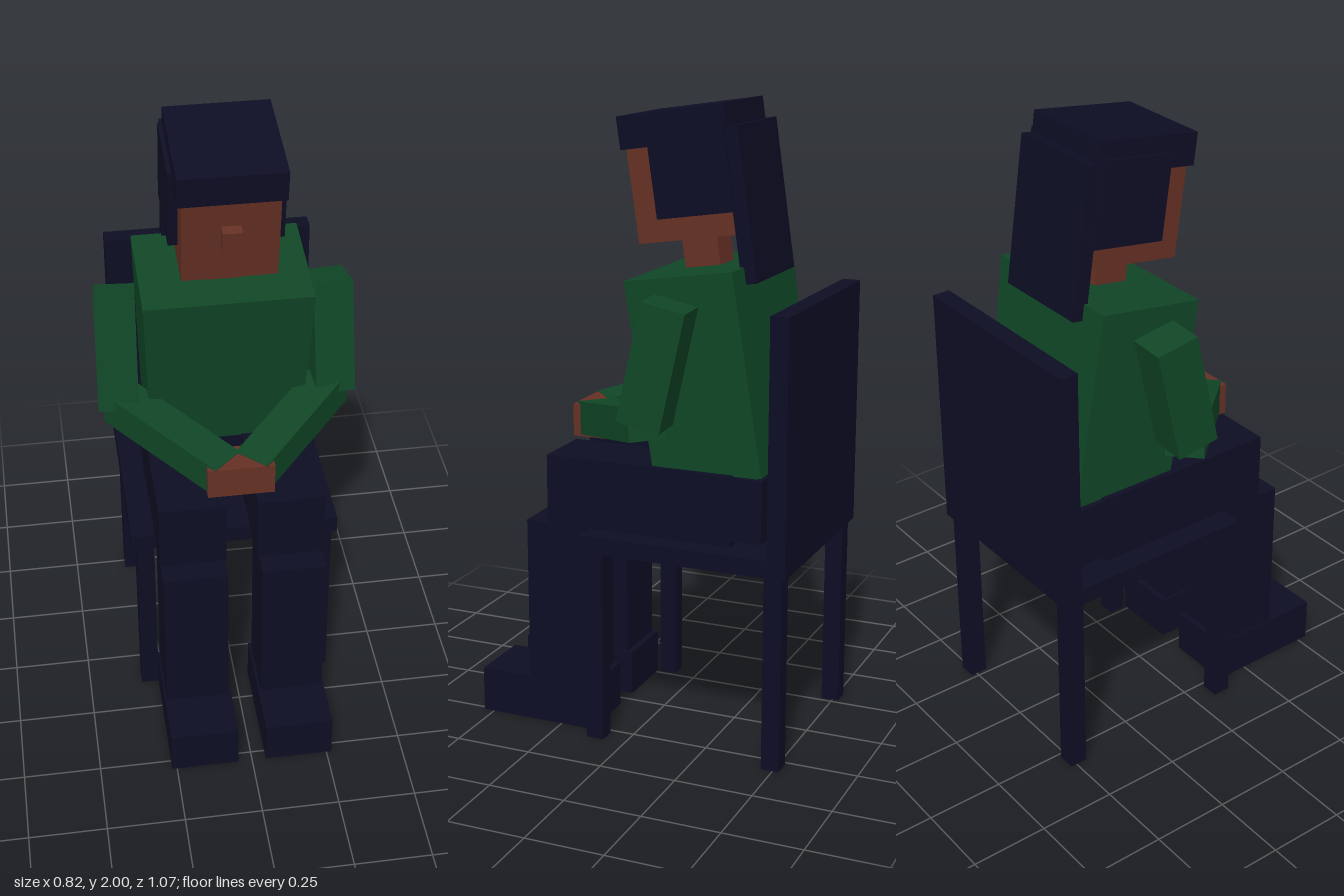
import * as THREE from 'three';

export function createModel() {
  const model = new THREE.Group();
  model.name = 'seatedFigure';

  const mat = (name, color) => {
    const m = new THREE.MeshStandardMaterial({ color });
    m.name = name;
    return m;
  };
  const navy = mat('darkNavy', 0x0d0d24);
  const green = mat('forestGreen', 0x104626);
  const skin = mat('brownSkin', 0x653024);

  // Box given by its extents on each axis
  const box = (parent, name, material, [x0, x1], [y0, y1], [z0, z1]) => {
    const mesh = new THREE.Mesh(new THREE.BoxGeometry(x1 - x0, y1 - y0, z1 - z0), material);
    mesh.position.set((x0 + x1) / 2, (y0 + y1) / 2, (z0 + z1) / 2);
    mesh.name = name;
    parent.add(mesh);
    return mesh;
  };
  // Extents of a span, mirrored to the side s
  const side = (s, a, b) => (s > 0 ? [a, b] : [-b, -a]);

  // Chair
  const chair = new THREE.Group();
  chair.name = 'chair';
  model.add(chair);
  box(chair, 'seat', navy, [-0.338, 0.338], [0.625, 0.68], [-0.476, 0.142]);
  box(chair, 'backrest', navy, [-0.338, 0.338], [0.625, 1.42], [-0.534, -0.476]);
  for (const s of [1, -1]) {
    const n = s > 0 ? 'left' : 'right';
    box(chair, n + 'FrontChairLeg', navy, side(s, 0.265, 0.323), [0, 0.625], [0.074, 0.131]);
    box(chair, n + 'BackChairLeg', navy, side(s, 0.265, 0.323), [0, 0.625], [-0.52, -0.462]);
  }

  // Hips and legs
  box(model, 'hips', navy, [-0.262, 0.262], [0.7, 0.899], [-0.43, -0.06]);
  for (const s of [1, -1]) {
    const n = s > 0 ? 'left' : 'right';
    box(model, n + 'Thigh', navy, side(s, 0.05, 0.262), [0.675, 0.903], [-0.33, 0.29]);
    box(model, n + 'Shin', navy, side(s, 0.055, 0.26), [0.05, 0.68], [0.16, 0.365]);
    box(model, n + 'Shoe', navy, side(s, 0.046, 0.266), [0, 0.147], [0.14, 0.535]);
  }

  // Upper body leans forward about the centre of the shoulders
  const upper = new THREE.Group();
  upper.name = 'upperBody';
  upper.position.set(0, 1.5, -0.155);
  upper.rotation.x = 0.145;
  model.add(upper);

  // Torso, narrower at the waist
  const torso = box(upper, 'torso', green, [-0.265, 0.265], [-0.63, 0], [-0.176, 0.176]);
  const p = torso.geometry.attributes.position;
  for (let i = 0; i < p.count; i++) if (p.getY(i) < 0) p.setX(i, p.getX(i) * 0.915);
  torso.geometry.computeVertexNormals();

  // Neck, head and hair
  box(upper, 'neck', skin, [-0.056, 0.056], [0, 0.11], [-0.056, 0.06]);
  box(upper, 'head', skin, [-0.147, 0.147], [0.095, 0.4], [-0.163, 0.163]);
  box(upper, 'nose', skin, [-0.03, 0.03], [0.221, 0.293], [0.15, 0.199]);
  box(upper, 'topHair', navy, [-0.163, 0.163], [0.383, 0.484], [-0.176, 0.176]);
  box(upper, 'backHair', navy, [-0.168, 0.168], [-0.052, 0.416], [-0.21, -0.163]);
  for (const s of [1, -1]) {
    box(upper, (s > 0 ? 'left' : 'right') + 'SideHair', navy,
      side(s, 0.14, 0.177), [0.166, 0.431], [-0.17, 0.08]);
  }

  // Arms, meeting at the folded hands
  for (const s of [1, -1]) {
    const n = s > 0 ? 'left' : 'right';
    const upperArm = new THREE.Mesh(new THREE.BoxGeometry(0.128, 0.375, 0.14), green);
    upperArm.name = n + 'UpperArm';
    upperArm.position.set(s * 0.34, 1.247, -0.122);
    upperArm.rotation.set(-0.214, s * 0.075, 0, 'YXZ');
    model.add(upperArm);

    const elbow = new THREE.Vector3(s * 0.345, 1.065, -0.09);
    const wrist = new THREE.Vector3(s * 0.043, 0.985, 0.225);
    const forearm = new THREE.Mesh(
      new THREE.BoxGeometry(0.12, 0.106, elbow.distanceTo(wrist)), green);
    forearm.name = n + 'Forearm';
    forearm.position.copy(elbow).lerp(wrist, 0.5);
    forearm.lookAt(wrist);
    model.add(forearm);
  }
  box(model, 'hands', skin, [-0.105, 0.105], [0.93, 1.035], [0.16, 0.272]);

  return model;
}
